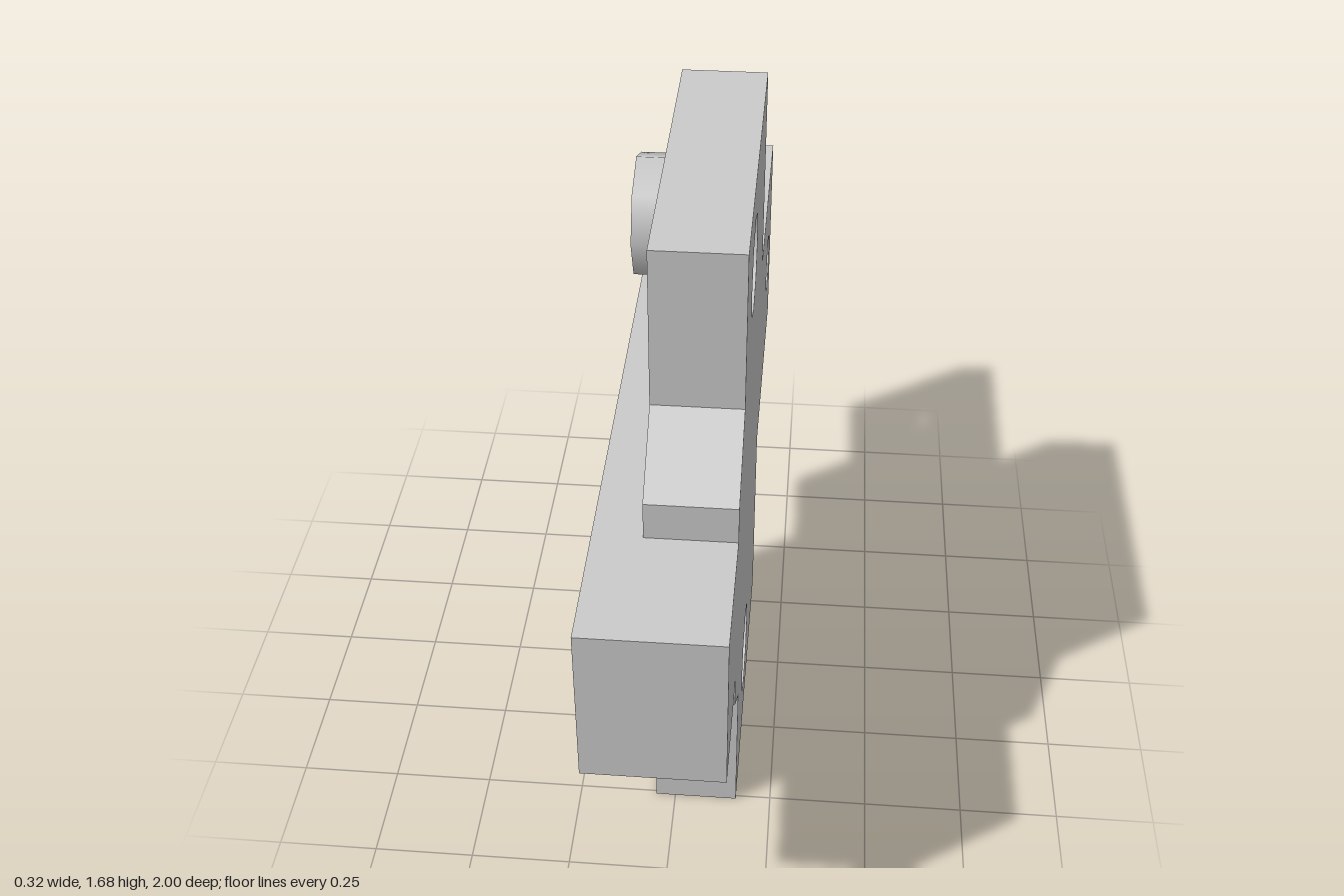
import * as THREE from 'three';
import { toCreasedNormals } from 'three/addons/utils/BufferGeometryUtils.js';

const material = new THREE.MeshStandardMaterial({ color: 0xcccccc });
const OUTER = 0.16;            // shared flat face on the +x side
const PLATE_BACK = -0.05;
const TONGUE_BACK = 0.063;
const BAR_BACK = -0.165;

function part(name, geometry) {
  const mesh = new THREE.Mesh(geometry, material);
  mesh.name = name;
  return mesh;
}

// Side profile of [z, y] points with eight-sided holes [z, y, radius], extruded from x0 to x1
function sidePlate(name, points, holes, x0, x1) {
  const shape = new THREE.Shape(points.map(([z, y]) => new THREE.Vector2(-z, y)));
  for (const [z, y, r] of holes) {
    shape.holes.push(new THREE.Path().absarc(-z, y, r, 0, Math.PI * 2, true));
  }
  const geometry = new THREE.ExtrudeGeometry(shape, { depth: x1 - x0, bevelEnabled: false, curveSegments: 4 });
  geometry.rotateY(Math.PI / 2).translate(x0, 0, 0);
  return part(name, toCreasedNormals(geometry, 0.82)); // smooth hole walls, sharp plate edges
}

export function createModel() {
  const model = new THREE.Group();
  model.name = 'latchBracket';

  // Upright plate with a chamfered nose and two bolt holes
  model.add(sidePlate('mountingPlate', [
    [0.51, 0], [-0.335, 0], [-0.335, 1.68], [0.51, 1.68],
    [0.51, 1.287], [0.68, 1.145], [0.68, 0.54], [0.51, 0.395],
  ], [[0.183, 1.452, 0.122], [0.183, 0.232, 0.122]], PLATE_BACK, OUTER));

  // Thin rear tongue with a smaller hole
  model.add(sidePlate('rearTongue', [
    [-0.335, 0.555], [-1, 0.555], [-1, 1.13], [-0.335, 1.13],
  ], [[-0.81, 0.842, 0.088]], TONGUE_BACK, OUTER));

  // Long bar wrapping the plate: plan outline of [x, z] points, extruded upward
  const plan = [
    [BAR_BACK, 1], [OUTER, 1], [OUTER, 0.68], [PLATE_BACK, 0.68],
    [PLATE_BACK, -0.335], [TONGUE_BACK, -0.335], [TONGUE_BACK, -0.545], [BAR_BACK, -0.545],
  ];
  const bar = new THREE.ExtrudeGeometry(
    new THREE.Shape(plan.map(([x, z]) => new THREE.Vector2(x, -z))),
    { depth: 0.415, bevelEnabled: false },
  );
  model.add(part('slideBar', bar.rotateX(-Math.PI / 2).translate(0, 0.635, 0)));

  // Eight-sided stud on the back of the plate
  const stud = new THREE.CylinderGeometry(0.154, 0.154, 0.093, 8).rotateZ(Math.PI / 2);
  model.add(part('stud', stud.translate(PLATE_BACK - 0.0465, 1.395, -0.127)));

  return model;
}
